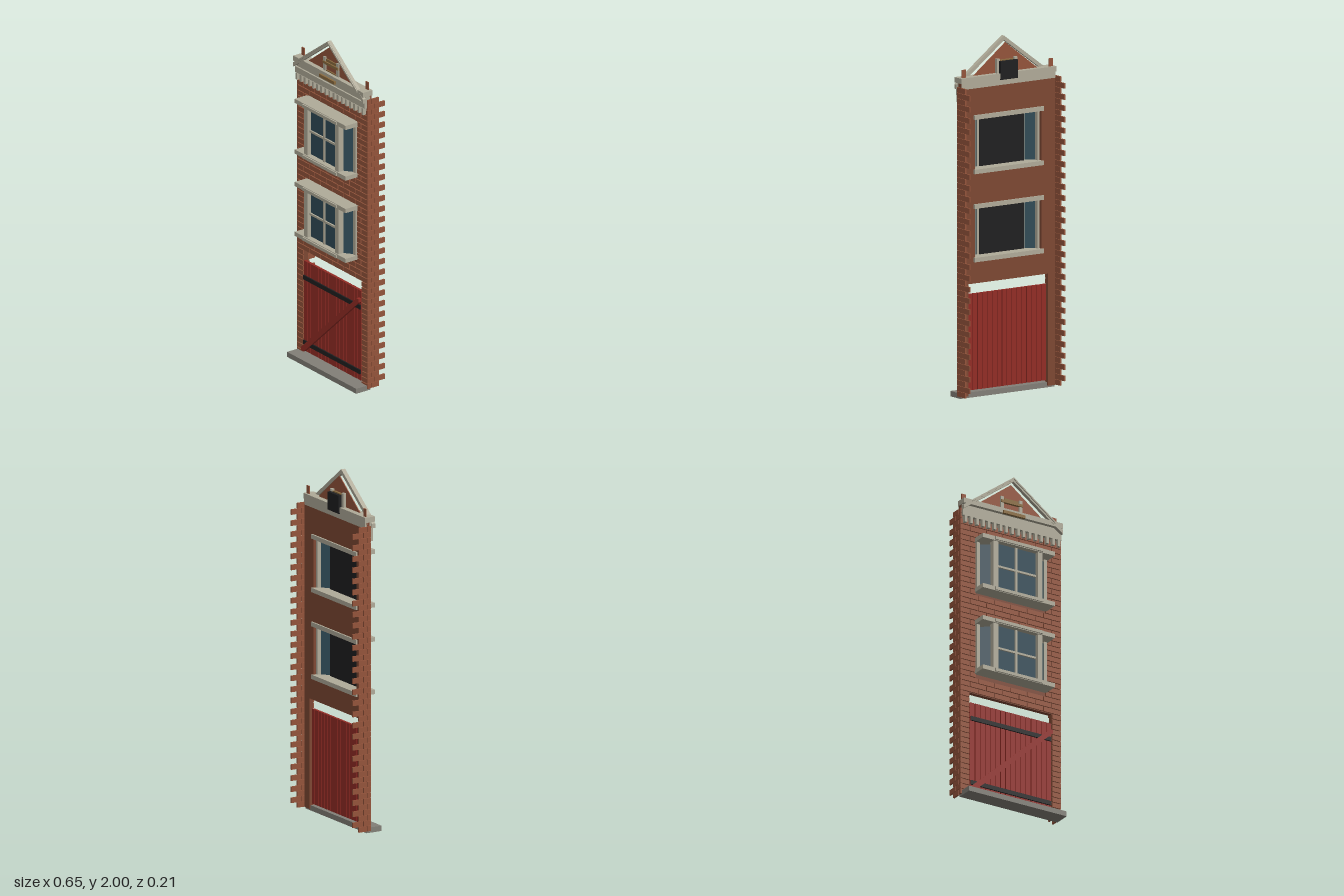
import * as THREE from 'three';
import { mergeGeometries } from 'three/addons/utils/BufferGeometryUtils.js';

const mat = (name, color, side = THREE.FrontSide) => {
  const m = new THREE.MeshStandardMaterial({ color, side });
  m.name = name;
  return m;
};

// box given by its min and max corners
function slab(x0, x1, y0, y1, z0, z1) {
  return new THREE.BoxGeometry(x1 - x0, y1 - y0, z1 - z0)
    .translate((x0 + x1) / 2, (y0 + y1) / 2, (z0 + z1) / 2);
}

export function createModel() {
  const brick = mat('brick', 0x94543b);
  const wallBrown = mat('wall brown', 0x7e4833);
  const stone = mat('stone', 0xb0ab99);
  const pavement = mat('pavement grey', 0x827f77);
  const glass = mat('glass', 0x2f4b57, THREE.DoubleSide);
  const red = mat('door red', 0x932c25);
  const black = mat('black', 0x1f1f20);
  const wood = mat('wood', 0x8a6b3f);

  const model = new THREE.Group();
  model.name = 'townhouseFacade';
  const add = (parent, name, material, ...geos) => {
    const mesh = new THREE.Mesh(geos.length > 1 ? mergeGeometries(geos) : geos[0], material);
    mesh.name = name;
    parent.add(mesh);
    return mesh;
  };
  const poly = (pts) => pts.map(([x, y]) => new THREE.Vector2(x, y));
  const extrude = (shape, z0, depth) =>
    new THREE.ExtrudeGeometry(shape, { depth, bevelEnabled: false }).translate(0, 0, z0);

  // bottom and top of each bay window, and the door opening
  const bays = [[0.76, 1.085], [1.255, 1.585]];
  const doorX = 0.268, doorTop = 0.64, bayX = 0.225;

  // wall slab with door notch and window holes
  const wall = new THREE.Shape(poly([[-0.318, 0.01], [-doorX, 0.01], [-doorX, doorTop],
    [doorX, doorTop], [doorX, 0.01], [0.318, 0.01], [0.318, 1.77], [-0.318, 1.77]]));
  for (const [b, t] of bays) {
    wall.holes.push(new THREE.Path(poly([[-bayX, b + 0.01], [-bayX, t - 0.01],
      [bayX, t - 0.01], [bayX, b + 0.01]])));
  }
  add(model, 'wall', wallBrown, extrude(wall, -0.018, 0.025));

  // raised front bricks, laid in the solid stretches of every course
  const course = 0.0316, gap = 0.005, front = [], quoins = [];
  for (let i = 0; i < 53; i++) {
    const y = 0.012 + i * course, top = y + course - gap;
    let hole = 0;
    if (y < doorTop) hole = doorX;
    for (const [b, t] of bays) if (top > b && y < t) hole = bayX;
    const spans = hole ? [[-0.318, -hole], [hole, 0.318]] : [[-0.318, 0.318]];
    for (const [a, b] of spans) {
      let x = a;
      const first = a < 0 ? -0.318 + (i % 2 ? 0.053 : 0.106) : b - (i % 2 ? 0.053 : 0.106);
      let next = Math.max(first, a);
      if (next <= a) next += 0.106;
      while (x < b - 0.001) {
        let end = Math.min(next, b);
        if (b - end < 0.02) end = b;
        if (end - x > gap + 0.003) front.push(slab(x + gap / 2, end - gap / 2, y, top, 0.006, 0.014));
        x = end;
        next = x + 0.106;
      }
    }
  }
  add(model, 'frontBricks', brick, ...front);

  // toothed brick returns on both sides
  for (let i = 0; i < 55; i++) {
    const y = 0.012 + i * course, back = i % 2 ? -0.105 : -0.065;
    for (const s of [-1, 1]) {
      const xa = s < 0 ? -0.326 : 0.316;
      const mid = i % 2 ? -0.036 : -0.012;
      quoins.push(slab(xa, xa + 0.01, y, y + course - 0.002, mid + 0.002, 0.014));
      quoins.push(slab(xa, xa + 0.01, y, y + course - 0.002, back, mid - 0.002));
    }
  }
  add(model, 'sideBricks', brick, ...quoins);

  // pavement step
  add(model, 'step', pavement, slab(-0.318, 0.318, 0, 0.03, -0.01, 0.087));

  // plank door with straps and diagonal brace
  const door = new THREE.Group();
  door.name = 'door';
  model.add(door);
  const planks = [], n = 16, pw = 0.53 / n;
  for (let i = 0; i < n; i++) {
    const x = -0.265 + i * pw;
    planks.push(slab(x + 0.002, x + pw - 0.002, 0.04, 0.58, -0.004, 0.012));
  }
  add(door, 'doorPlanks', red, ...planks);
  add(door, 'doorStraps', black, slab(-0.262, 0.262, 0.08, 0.105, 0.012, 0.02),
    slab(-0.262, 0.262, 0.47, 0.495, 0.012, 0.02));
  const brace = new THREE.Shape(poly([[-0.265, 0.045], [-0.24, 0.045], [0.265, 0.515],
    [0.265, 0.535], [0.245, 0.535], [-0.265, 0.065]]));
  add(door, 'doorBrace', red, extrude(brace, 0.012, 0.018));

  // canted bay windows
  for (const [b, t] of bays) {
    const bay = new THREE.Group();
    bay.name = 'bayWindow';
    model.add(bay);
    const lo = b + 0.025, hi = t - 0.025, mid = (lo + hi) / 2;
    add(bay, 'bayCap', stone, slab(-0.234, 0.234, hi, t, -0.028, 0.097),
      slab(-0.155, 0.155, hi + 0.004, t - 0.003, 0.09, 0.105));
    add(bay, 'baySill', stone, slab(-0.234, 0.234, b, lo, -0.028, 0.097),
      slab(-0.155, 0.155, b + 0.003, lo - 0.004, 0.09, 0.105));
    add(bay, 'bayPosts', stone, ...[-1, 1].flatMap((s) => [
      slab(s * 0.144 - 0.016, s * 0.144 + 0.016, lo, hi, 0.055, 0.09),
      slab(s * 0.219 - 0.01, s * 0.219 + 0.01, lo, hi, 0.0, 0.026)]));
    add(bay, 'glazingBars', stone, slab(-0.006, 0.006, lo, hi, 0.063, 0.073),
      slab(-0.13, 0.13, mid - 0.006, mid + 0.006, 0.063, 0.073));
    add(bay, 'frontGlass', glass, slab(-0.13, 0.13, lo, hi, 0.056, 0.064));
    add(bay, 'blackout', black, slab(-0.15, 0.15, lo, hi, 0.044, 0.052));
    for (const s of [-1, 1]) {
      const dx = 0.06, dz = 0.045, h = hi - lo - 0.012;
      const pane = add(bay, 'sideGlass', glass, new THREE.PlaneGeometry(Math.hypot(dx, dz), h));
      pane.position.set(s * 0.185, lo + h / 2, 0.039);
      pane.rotation.y = s * Math.atan2(dz, dx);
    }
  }

  // cornice with dentils
  add(model, 'cornice', stone, slab(-0.32, 0.32, 1.7, 1.735, -0.005, 0.03),
    slab(-0.318, 0.318, 1.735, 1.77, -0.02, 0.02),
    slab(-0.322, 0.322, 1.77, 1.8, -0.023, 0.042));
  const dentils = [];
  for (let i = 0; i < 17; i++) {
    const x = -0.304 + i * 0.038;
    dentils.push(slab(x - 0.008, x + 0.008, 1.66, 1.7, 0.005, 0.034));
  }
  add(model, 'dentils', stone, ...dentils);

  // gable: brick infill and sloping stone copings
  add(model, 'gableInfill', brick, extrude(new THREE.Shape(
    poly([[-0.235, 1.785], [0.235, 1.785], [0, 1.965]])), 0.01, 0.005));
  add(model, 'gableCoping', stone,
    extrude(new THREE.Shape(poly([[-0.322, 1.735], [0, 1.975], [0.322, 1.735],
      [0.322, 1.76], [0, 2], [-0.322, 1.76]])), 0.022, 0.021),
    extrude(new THREE.Shape(poly([[-0.27, 1.786], [0, 1.988], [0.27, 1.786],
      [0.27, 1.796], [0, 1.998], [-0.27, 1.796]])), 0.043, 0.006));
  add(model, 'chimneyStubs', brick, ...[-1, 1].map((s) =>
    slab(s * 0.295 - 0.013, s * 0.295 + 0.013, 1.795, 1.845, -0.01, -0.004)));

  // attic hatch
  const attic = new THREE.Group();
  attic.name = 'atticHatch';
  model.add(attic);
  add(attic, 'hatchPosts', stone, ...[-1, 1].map((s) =>
    slab(s * 0.06 - 0.01, s * 0.06 + 0.01, 1.785, 1.88, -0.008, 0.024)));
  add(attic, 'hatchBack', black, slab(-0.057, 0.057, 1.765, 1.868, -0.03, -0.01));
  add(attic, 'hatchWood', wood, slab(-0.07, 0.07, 1.764, 1.782, 0.04, 0.054),
    slab(-0.07, 0.07, 1.842, 1.857, 0.015, 0.03),
    slab(-0.045, 0.045, 1.855, 1.872, -0.005, 0.022),
    slab(-0.045, 0.045, 1.797, 1.806, 0.014, 0.022));
  return model;
}
